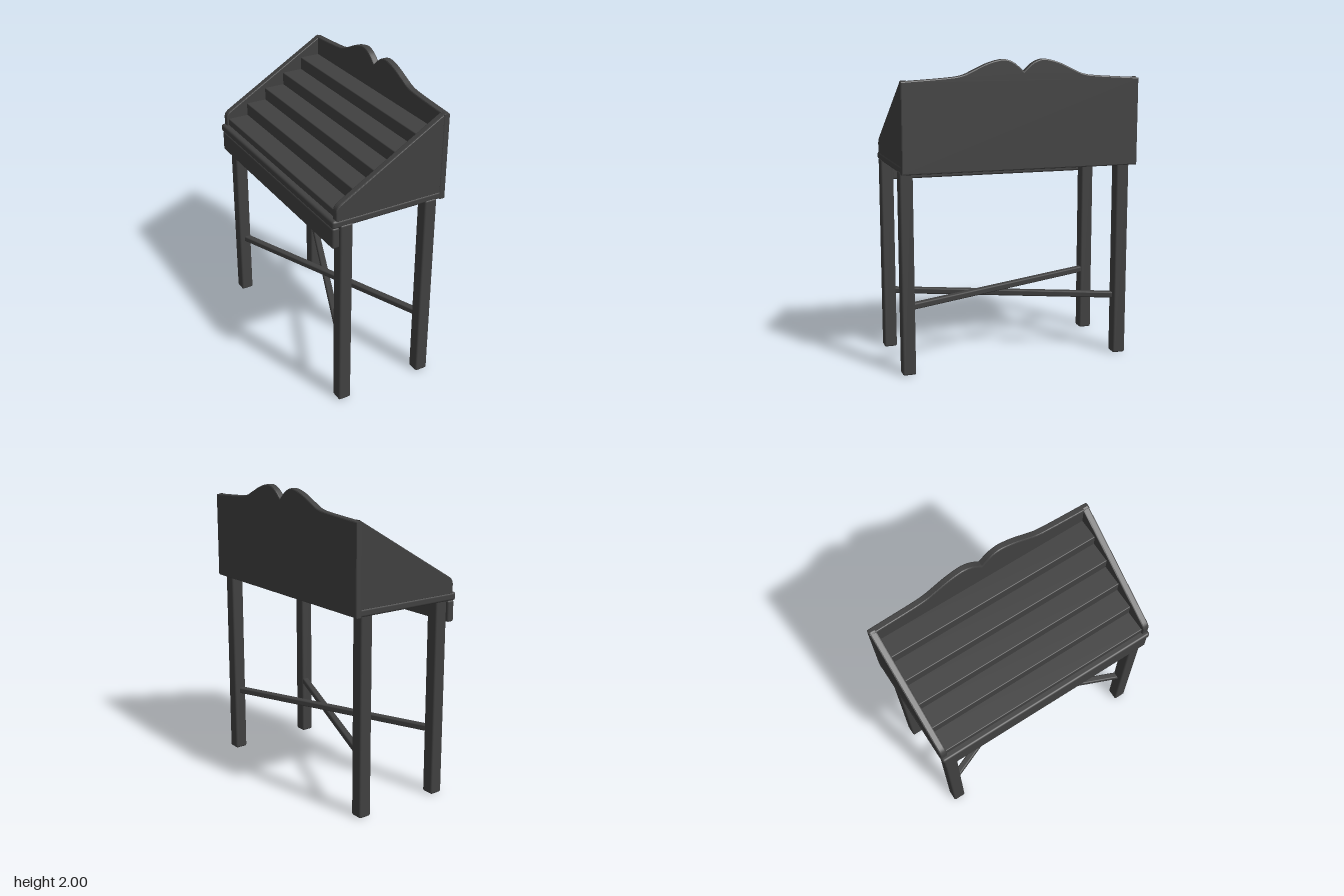
import * as THREE from 'three';
import { RoundedBoxGeometry } from 'three/addons/geometries/RoundedBoxGeometry.js';

const material = new THREE.MeshStandardMaterial({ color: 0x404040 });

export function createModel() {
  const group = new THREE.Group();

  const add = (name, geometry) => {
    const mesh = new THREE.Mesh(geometry, material);
    mesh.name = name;
    group.add(mesh);
    return mesh;
  };

  // Softened box given by its limits on each axis
  const box = (name, [x0, x1], [y0, y1], [z0, z1], radius = 0.008) => {
    const mesh = add(name, new RoundedBoxGeometry(x1 - x0, y1 - y0, z1 - z0, 2, radius));
    mesh.position.set((x0 + x1) / 2, (y0 + y1) / 2, (z0 + z1) / 2);
    return mesh;
  };

  // Board with a slightly bevelled edge, centred on its thickness
  const board = (name, shape, thickness) => {
    const b = 0.008;
    const geometry = new THREE.ExtrudeGeometry(shape, {
      depth: thickness - 2 * b, bevelThickness: b, bevelSize: b, bevelOffset: -b,
      bevelSegments: 2, curveSegments: 10,
    });
    geometry.translate(0, 0, b - thickness / 2);
    return add(name, geometry);
  };

  // Legs
  const legX = [-0.305, 0.295], legZ = [-0.715, 0.745];
  for (const x of legX) {
    for (const z of legZ) {
      box('leg', [x - 0.043, x + 0.043], [0, 1.32], [z - 0.043, z + 0.043], 0.012);
    }
  }

  // Crossed stretchers, one resting on the other
  const brace = (z0, z1, y) => {
    const dx = legX[1] - legX[0], dz = z1 - z0;
    const mesh = add('stretcher', new RoundedBoxGeometry(0.045, 0.042, Math.hypot(dx, dz), 2, 0.01));
    mesh.position.set((legX[0] + legX[1]) / 2, y, (z0 + z1) / 2);
    mesh.rotation.y = Math.atan2(dx, dz);
  };
  brace(legZ[1], legZ[0], 0.4);
  brace(legZ[0], legZ[1], 0.442);

  // Base board and front apron
  box('baseBoard', [-0.4, 0.37], [1.305, 1.358], [-0.785, 0.785], 0.015);
  box('frontApron', [-0.395, -0.345], [1.165, 1.305], [-0.775, 0.775], 0.012);

  // Sloped side panels
  const side = new THREE.Shape();
  side.moveTo(-0.375, 1.345);
  side.lineTo(0.37, 1.345);
  side.lineTo(0.37, 1.88);
  side.lineTo(-0.34, 1.463);
  side.quadraticCurveTo(-0.375, 1.443, -0.375, 1.41);
  side.closePath();
  for (const z of [-0.76, 0.76]) board('sidePanel', side, 0.045).position.z = z;

  // Stepped display shelves
  const depth = 0.144;
  for (let i = 0; i < 5; i++) {
    const x = -0.36 + i * depth, top = 1.405 + i * 0.0865;
    const bottom = i ? top - 0.12 : 1.345;
    box('shelfStep', [x, x + depth + 0.015], [bottom, top], [-0.745, 0.745], 0.006);
  }

  // Back board with a scalloped crest
  const back = new THREE.Shape();
  back.moveTo(-0.785, 1.305);
  back.lineTo(0.785, 1.305);
  back.lineTo(0.785, 1.872);
  const crest = [[0.77, 1.875], [0.5, 1.892], [0.4, 1.906], [0.33, 1.935], [0.25, 1.972],
    [0.18, 1.994], [0.12, 2.0], [0.06, 1.977], [0, 1.925]];
  const curve = crest.map(([z, y]) => new THREE.Vector2(z, y));
  back.lineTo(curve[0].x, curve[0].y);
  back.splineThru(curve.slice(1));
  back.splineThru(curve.slice(0, -1).reverse().map((p) => new THREE.Vector2(-p.x, p.y)));
  back.lineTo(-0.785, 1.872);
  back.closePath();
  const backBoard = board('backBoard', back, 0.045);
  backBoard.rotation.y = Math.PI / 2;
  backBoard.position.x = 0.377;

  return group;
}
